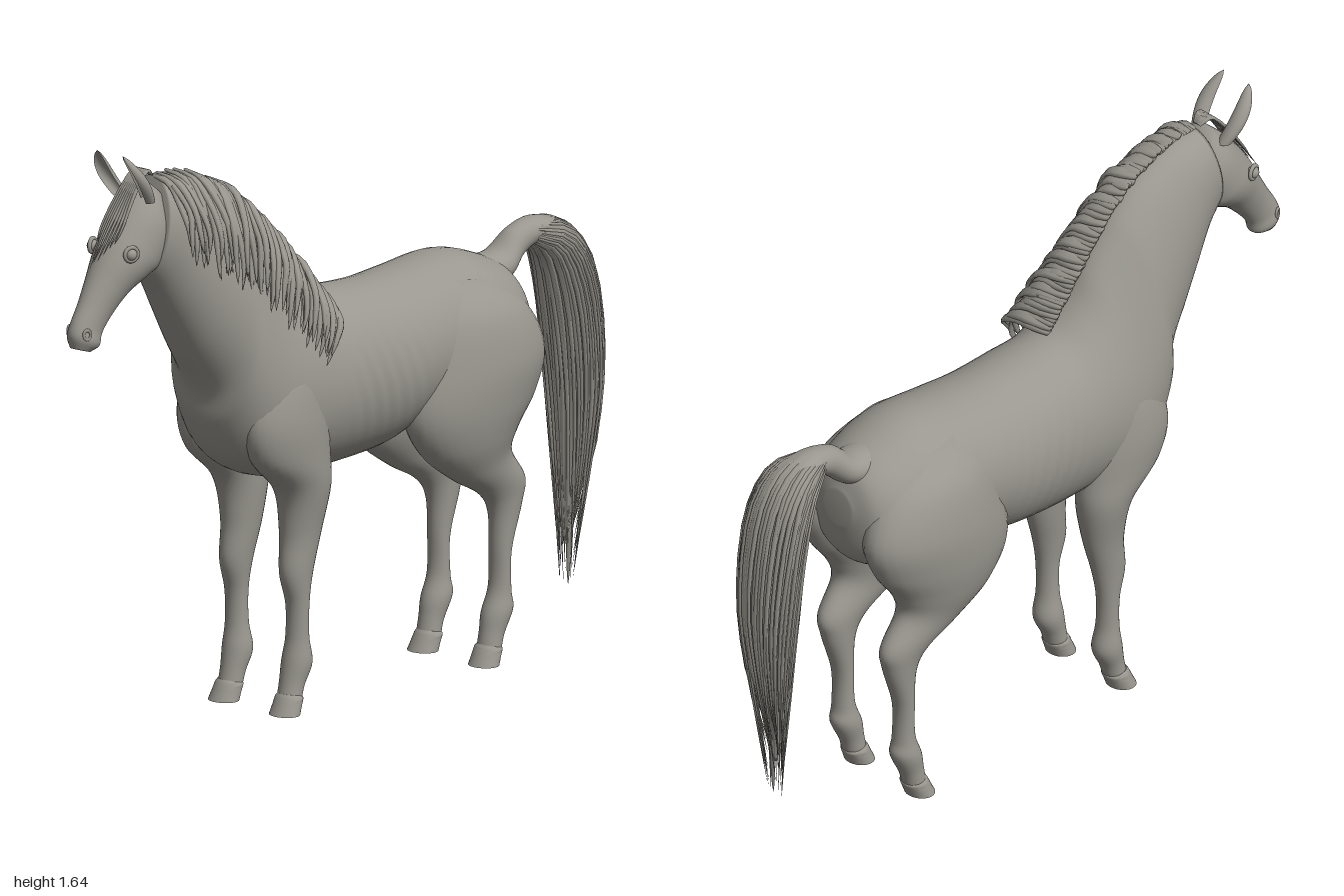
import * as THREE from 'three';
import { toCreasedNormals } from 'three/addons/utils/BufferGeometryUtils.js';

const coat = new THREE.MeshStandardMaterial({ color: 0x99978f, side: THREE.DoubleSide });
const V = (x, y, z) => new THREE.Vector3(x, y, z);
const curve = (pts) => new THREE.CatmullRomCurve3(pts, false, 'catmullrom', 0.5);

let seed = 7;
const rand = () => ((seed = (seed * 16807) % 2147483647) / 2147483647);
const jitter = (amount) => (rand() - 0.5) * 2 * amount;

function add(parent, name, geometry) {
  const mesh = new THREE.Mesh(geometry, coat);
  mesh.name = name;
  parent.add(mesh);
  return mesh;
}

// Closed smooth skin over a list of equal rings, capped at both ends
function skin(rings) {
  const n = rings[0].length, last = rings.length - 1, pos = [], index = [];
  rings.flat().forEach((p) => pos.push(p.x, p.y, p.z));
  for (let i = 0; i < last; i++) {
    for (let j = 0; j < n; j++) {
      const a = i * n + j, b = i * n + (j + 1) % n;
      index.push(a, b, a + n, b, b + n, a + n);
    }
  }
  [0, last].forEach((r, k) => {
    const c = rings[r].reduce((s, p) => s.add(p), V(0, 0, 0)).divideScalar(n);
    const id = pos.length / 3;
    pos.push(c.x, c.y, c.z);
    for (let j = 0; j < n; j++) {
      const a = r * n + j, b = r * n + (j + 1) % n;
      index.push(...(k ? [a, b, id] : [b, a, id]));
    }
  });
  // turn the faces outward
  const at = (i) => V(pos[3 * i], pos[3 * i + 1], pos[3 * i + 2]);
  let volume = 0;
  for (let i = 0; i < index.length; i += 3) volume += at(index[i]).dot(at(index[i + 1]).cross(at(index[i + 2])));
  if (volume < 0) index.reverse();
  const g = new THREE.BufferGeometry();
  g.setAttribute('position', new THREE.Float32BufferAttribute(pos, 3));
  g.setIndex(index);
  g.computeVertexNormals();
  return g;
}

// Sections: [z, y] of one edge, [z, y] of the opposite edge, centre x, half width, egg shape
function loft(sections, { sides = 32, steps = 6, shape } = {}) {
  const A = curve(sections.map((s) => V(0, s[1], s[0])));
  const B = curve(sections.map((s) => V(0, s[3], s[2])));
  const W = curve(sections.map((s) => V(s[4], s[5], s[6] || 0)));
  const count = (sections.length - 1) * steps, rings = [];
  for (let i = 0; i <= count; i++) {
    const t = i / count, a = A.getPoint(t), b = B.getPoint(t), w = W.getPoint(t);
    const mid = a.clone().add(b).multiplyScalar(0.5), half = a.sub(mid);
    rings.push(Array.from({ length: sides }, (_, j) => {
      const q = (j / sides) * Math.PI * 2, c = Math.cos(q);
      const p = mid.clone().addScaledVector(half, c);
      p.x = w.x + w.y * Math.sin(q) * (1 + w.z * c);
      if (shape) shape(p, q, t, mid);
      return p;
    }));
  }
  return skin(rings);
}

// Flat tapering lock of hair along a path
function lock(points, side, width, thick) {
  const path = curve(points), rings = [], n = 14;
  for (let i = 0; i <= n; i++) {
    const t = i / n, c = path.getPoint(t), tan = path.getTangent(t);
    const out = tan.clone().cross(side).normalize();
    const across = out.clone().cross(tan).normalize();
    const size = Math.min(1, 0.5 + t * 4) * Math.pow(1 - t, 0.55) + 0.03;
    rings.push(Array.from({ length: 6 }, (_, j) => {
      const q = (j / 6) * Math.PI * 2;
      return c.clone().addScaledVector(across, Math.cos(q) * width * size).addScaledVector(out, Math.sin(q) * thick * size);
    }));
  }
  return skin(rings);
}

// Cupped leaf-shaped ear, open to the front
function earGeometry(side) {
  const g = new THREE.PlaneGeometry(1, 1, 14, 14), p = g.attributes.position;
  for (let i = 0; i < p.count; i++) {
    const q = p.getX(i) * 4.2, t = p.getY(i) + 0.5;
    const r = 0.027 * Math.pow(1 - t, 0.7) * (0.75 + 1.3 * t);
    const lean = 0.05 + 0.016 * Math.sin(t * 3) - 0.004 * t;
    p.setXYZ(i, side * (lean + r * Math.sin(q + 0.5)), 1.5 + 0.145 * t, 0.755 + 0.095 * t - r * Math.cos(q + 0.5));
  }
  g.computeVertexNormals();
  return g;
}

export function createModel() {
  const horse = new THREE.Group();
  horse.name = 'horse';

  // Trunk and neck, with faint ribs on the barrel
  add(horse, 'bodyAndNeck', loft([
    [-0.665, 1.0, -0.67, 0.9, 0, 0.05], [-0.63, 1.07, -0.645, 0.79, 0, 0.13],
    [-0.55, 1.115, -0.56, 0.73, 0, 0.18], [-0.42, 1.15, -0.42, 0.7, 0, 0.2],
    [-0.25, 1.135, -0.24, 0.69, 0, 0.2], [-0.12, 1.125, -0.12, 0.655, 0, 0.2],
    [0.02, 1.13, 0.02, 0.64, 0, 0.2], [0.13, 1.145, 0.16, 0.64, 0, 0.195, -0.05],
    [0.21, 1.21, 0.31, 0.65, 0, 0.195, -0.15], [0.27, 1.3, 0.43, 0.71, 0, 0.18, -0.25],
    [0.33, 1.375, 0.49, 0.82, 0, 0.165, -0.25], [0.38, 1.43, 0.505, 0.92, 0, 0.148, -0.2],
    [0.45, 1.485, 0.58, 1.04, 0, 0.128, -0.15], [0.53, 1.525, 0.64, 1.145, 0, 0.113, -0.1],
    [0.61, 1.55, 0.69, 1.23, 0, 0.1], [0.69, 1.555, 0.735, 1.285, 0, 0.085],
  ], {
    sides: 48, steps: 9,
    shape: (p, q) => {
      const zone = Math.max(0, 1 - Math.pow((p.z + 0.04) / 0.17, 2)) * Math.pow(Math.abs(Math.sin(q)), 4);
      p.x *= 1 + 0.016 * zone * Math.cos((p.z - p.y * 0.3) * 125);
    },
  }));

  // Head
  add(horse, 'head', loft([
    [0.73, 1.55, 0.66, 1.47, 0, 0.045], [0.79, 1.495, 0.655, 1.38, 0, 0.078],
    [0.848, 1.425, 0.69, 1.31, 0, 0.083], [0.885, 1.37, 0.735, 1.285, 0, 0.077],
    [0.922, 1.305, 0.8, 1.25, 0, 0.058], [0.957, 1.245, 0.855, 1.2, 0, 0.044],
    [0.988, 1.195, 0.892, 1.155, 0, 0.039], [1.0, 1.16, 0.905, 1.12, 0, 0.041],
    [0.993, 1.125, 0.935, 1.108, 0, 0.026],
  ]));

  for (const side of [1, -1]) {
    const tag = side > 0 ? 'left' : 'right';
    const mirror = (rows) => rows.map((r) => [...r.slice(0, 4), side * r[4], ...r.slice(5)]);

    add(horse, tag + 'Ear', earGeometry(side));

    // Eye with lids, and nostril rim
    const eye = add(horse, tag + 'Eye', new THREE.SphereGeometry(0.017, 16, 12));
    eye.position.set(side * 0.072, 1.373, 0.842);
    const lid = add(horse, tag + 'Eyelid', new THREE.TorusGeometry(0.019, 0.006, 8, 20));
    lid.position.set(side * 0.074, 1.374, 0.842);
    lid.rotation.set(0, side * 1.25, 0.35 * side);
    const nostril = add(horse, tag + 'Nostril', new THREE.TorusGeometry(0.01, 0.004, 8, 16));
    nostril.position.set(side * 0.035, 1.165, 0.972);
    nostril.rotation.y = side * 1.1;
    nostril.scale.y = 1.3;

    // Shoulder and front leg
    add(horse, tag + 'FrontLeg', loft(mirror([
      [0.33, 1.03, 0.22, 1.03, 0.1, 0.04], [0.4, 0.95, 0.18, 0.95, 0.118, 0.07],
      [0.445, 0.83, 0.16, 0.83, 0.125, 0.082], [0.415, 0.72, 0.15, 0.72, 0.125, 0.078],
      [0.315, 0.62, 0.145, 0.63, 0.118, 0.072], [0.293, 0.5, 0.17, 0.5, 0.112, 0.054],
      [0.3, 0.39, 0.2, 0.385, 0.114, 0.042], [0.278, 0.3, 0.215, 0.3, 0.116, 0.034],
      [0.277, 0.21, 0.215, 0.21, 0.115, 0.034], [0.288, 0.145, 0.203, 0.135, 0.113, 0.042],
      [0.298, 0.085, 0.23, 0.075, 0.112, 0.036], [0.31, 0.03, 0.245, 0.03, 0.113, 0.036],
    ])));

    // Thigh, hock and hind leg
    add(horse, tag + 'HindLeg', loft(mirror([
      [-0.32, 1.1, -0.5, 1.08, 0.09, 0.05], [-0.23, 1.0, -0.615, 0.99, 0.112, 0.1],
      [-0.185, 0.86, -0.67, 0.87, 0.124, 0.116], [-0.17, 0.73, -0.635, 0.76, 0.128, 0.108],
      [-0.235, 0.62, -0.57, 0.67, 0.127, 0.09], [-0.35, 0.535, -0.55, 0.6, 0.123, 0.066],
      [-0.45, 0.48, -0.61, 0.51, 0.12, 0.05], [-0.495, 0.42, -0.6, 0.44, 0.118, 0.042],
      [-0.503, 0.31, -0.56, 0.31, 0.117, 0.034], [-0.5, 0.21, -0.56, 0.2, 0.116, 0.034],
      [-0.475, 0.14, -0.568, 0.15, 0.115, 0.041], [-0.466, 0.09, -0.535, 0.08, 0.115, 0.035],
      [-0.455, 0.03, -0.52, 0.03, 0.115, 0.036],
    ])));

    // Hooves with a small ledge at the top
    for (const [name, z] of [['FrontHoof', 0], ['HindHoof', -0.765]]) {
      const hoof = loft([
        [0.305, 0.058, 0.245, 0.05, side * 0.114, 0.034], [0.312, 0.048, 0.24, 0.042, side * 0.114, 0.041],
        [0.323, 0.025, 0.248, 0.022, side * 0.115, 0.043], [0.335, 0, 0.257, 0, side * 0.116, 0.046],
      ], { sides: 24, steps: 3 });
      add(horse, tag + name, toCreasedNormals(hoof, 0.8)).position.z = z;
    }
  }

  // Mane: overlapping locks falling over the left side of the neck
  const mane = new THREE.Group();
  mane.name = 'mane';
  horse.add(mane);
  const crest = curve([V(0, 1.55, 0.68), V(0, 1.535, 0.56), V(0, 1.48, 0.44), V(0, 1.365, 0.31), V(0, 1.25, 0.22), V(0, 1.145, 0.13)]);
  const hem = curve([V(0.125, 1.34, 0.66), V(0.14, 1.28, 0.55), V(0.15, 1.22, 0.44), V(0.165, 1.14, 0.35), V(0.195, 1.05, 0.27), V(0.21, 0.98, 0.21)]);
  for (let i = 0; i < 56; i++) {
    const u = i / 55, c = crest.getPoint(u), e = hem.getPoint(u);
    e.add(V(jitter(0.012), jitter(0.03), jitter(0.02)));
    const at = (k, x) => V(e.x * x + jitter(0.006), c.y + (e.y - c.y) * k, c.z + (e.z - c.z) * k + jitter(0.008));
    c.y += 0.006 + jitter(0.006);
    c.x = -0.008;
    add(mane, 'maneLock', lock([c, at(0.08, 0.5), at(0.4, 0.87), at(0.72, 0.98), e], V(0, 0.5, 1), 0.021, 0.009));
  }

  // Forelock
  for (let i = 0; i < 9; i++) {
    const a = (i - 4) / 4, end = 1.34 + Math.abs(a) * 0.05 + jitter(0.02);
    const zEnd = 0.925 - (end - 1.33) * 0.65;
    add(horse, 'forelock', lock([
      V(a * 0.01, 1.56, 0.7), V(a * 0.022, 1.575, 0.735), V(a * 0.03, 1.515, 0.79),
      V(a * 0.038, 1.44, 0.85 - Math.abs(a) * 0.01), V(a * 0.032, end, zEnd - Math.abs(a) * 0.015),
    ], V(1, 0, 0), 0.009, 0.006));
  }

  // Tail: smooth dock running into a ridged core, covered by long locks
  add(horse, 'tail', loft([
    [-0.52, 1.11, -0.58, 1.0, 0, 0.07], [-0.62, 1.11, -0.66, 1.03, 0, 0.06],
    [-0.69, 1.16, -0.72, 1.08, 0, 0.043], [-0.78, 1.178, -0.775, 1.1, 0, 0.05],
    [-0.87, 1.145, -0.815, 1.05, 0, 0.075], [-0.95, 1.03, -0.85, 0.93, 0, 0.09],
    [-0.985, 0.8, -0.875, 0.72, 0, 0.085], [-0.965, 0.55, -0.885, 0.5, 0, 0.06],
    [-0.922, 0.35, -0.892, 0.33, 0, 0.025], [-0.905, 0.24, -0.895, 0.24, 0, 0.005],
  ], {
    sides: 48,
    shape: (p, q, t, mid) => {
      const k = 1 + 0.05 * Math.cos(q * 12) * THREE.MathUtils.smoothstep(t, 0.3, 0.5);
      p.sub(mid).multiplyScalar(k).add(mid);
    },
  }));
  const tailHair = new THREE.Group();
  tailHair.name = 'tailHair';
  horse.add(tailHair);
  // rows: half spread in x, then [z, y] of the outer and the inner edge
  const tailRows = [
    [0.035, -0.75, 1.17, -0.75, 1.11], [0.08, -0.87, 1.15, -0.81, 1.06], [0.1, -0.955, 1.03, -0.85, 0.9],
    [0.095, -0.99, 0.78, -0.877, 0.68], [0.07, -0.972, 0.55, -0.888, 0.45], [0.03, -0.915, 0.27, -0.898, 0.24],
  ];
  for (let i = 0; i < 54; i++) {
    const q = (i / 54) * Math.PI * 2 + jitter(0.05), b = 0.5 - 0.5 * Math.cos(q), drop = jitter(0.11);
    const points = tailRows.map(([x, zo, yo, zi, yi], k) => V(
      x * Math.sin(q) + jitter(0.004), zi && yo + (yi - yo) * b + (k === 5 ? drop : 0), zo + (zi - zo) * b));
    add(tailHair, 'tailLock', lock(points, V(1, 0, 0), 0.011, 0.007));
  }
  add(tailHair, 'tailTip', lock([V(0, 0.5, -0.93), V(0.005, 0.32, -0.91), V(0.015, 0.13, -0.895)], V(1, 0, 0), 0.018, 0.012));

  return horse;
}
